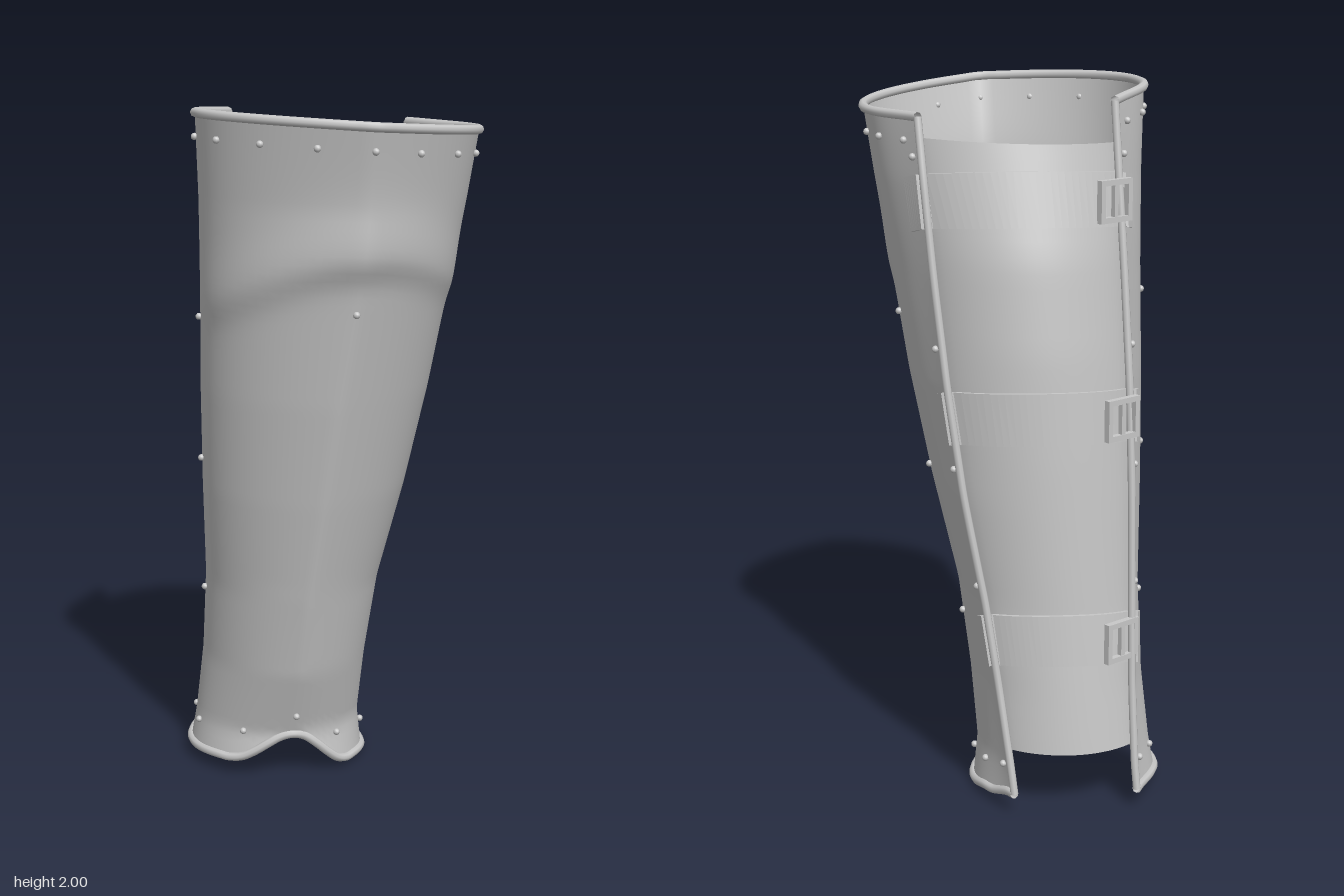
import * as THREE from 'three';

const steel = new THREE.MeshStandardMaterial({ color: 0xc8c8c8, side: THREE.DoubleSide });
steel.name = 'steel grey';
const V = (x, y, z) => new THREE.Vector3(x, y, z);

// Cross-sections by height: y, shin ridge x z, left side x z, right side x z, left back edge x z, right back edge x z
const SECTIONS = [
  [0.00, -0.13, 0.03, 0.130, -0.21, -0.400, -0.25, 0.045, -0.460, -0.300, -0.470],
  [0.14, -0.13, 0.01, 0.115, -0.20, -0.375, -0.24, 0.060, -0.440, -0.290, -0.455],
  [0.35, -0.12, 0.09, 0.130, -0.18, -0.355, -0.21, 0.085, -0.405, -0.285, -0.430],
  [0.60, -0.11, 0.155, 0.158, -0.14, -0.350, -0.16, 0.120, -0.380, -0.285, -0.410],
  [0.90, -0.085, 0.23, 0.225, -0.09, -0.365, -0.10, 0.175, -0.360, -0.285, -0.390],
  [1.20, -0.06, 0.30, 0.282, -0.05, -0.375, -0.05, 0.215, -0.335, -0.280, -0.365],
  [1.50, -0.025, 0.365, 0.325, 0.00, -0.380, 0.00, 0.245, -0.300, -0.270, -0.325],
  [1.75, -0.005, 0.41, 0.365, 0.03, -0.387, 0.03, 0.265, -0.270, -0.260, -0.290],
  [2.00, 0.00, 0.472, 0.400, 0.05, -0.398, 0.05, 0.280, -0.220, -0.250, -0.255],
];
const BACK = [[0.1, -0.48], [0.2, -0.472], [0.55, -0.442], [1.0, -0.436], [1.3, -0.428], [1.55, -0.405], [1.9, -0.322]];

function row(table, y) {
  let i = 0;
  while (i < table.length - 2 && y > table[i + 1][0]) i++;
  const a = table[i], b = table[i + 1], t = (y - a[0]) / (b[0] - a[0]);
  return a.map((v, k) => v + (b[k] - v) * t);
}

const bez = (a, b, c, d, t) => {
  const s = 1 - t;
  return a * s * s * s + 3 * b * s * s * t + 3 * c * s * t * t + d * t * t * t;
};

// Point on the shell: side = 1 left, -1 right; u runs from shin ridge (0) to back edge (1)
function shell(side, u, y, out = 0) {
  const r = row(SECTIONS, y), k = side > 0 ? 0 : 2;
  const [fx, fz] = [r[1], r[2]], [sx, sz] = [r[3 + k], r[4 + k]], [bx, bz] = [r[7 + k], r[8 + k]];
  const keel = Math.min(0.15, 0.02 + 0.2 * y);
  const at = (w) => {
    if (w < 0.5) {
      const t = w * 2;
      return V(bez(fx, fx + (sx - fx) * 0.5, sx, sx, t), y, bez(fz, fz + (sz - fz) * keel, sz + (fz - sz) * 0.5, sz, t));
    }
    const t = w * 2 - 1;
    return V(bez(sx, sx, bx + (sx - bx) * 0.5, bx, t), y, bez(sz, sz + (bz - sz) * 0.4, bz + (sz - bz) * 0.4, bz, t));
  };
  const p = at(u), a = at(Math.max(0, u - 0.02)), b = at(Math.min(1, u + 0.02));
  const n = u === 0 ? V(0, 0, 1) : V(-(b.z - a.z) * side, 0, (b.x - a.x) * side).normalize();
  // Raised brow of the knee
  const d = y - (1.62 - 1.1 * p.x * p.x);
  const brow = 0.024 * Math.exp(-((d / (d < 0 ? 0.055 : 0.12)) ** 2)) * Math.max(0, 1 - u / 0.6);
  return p.addScaledVector(n, brow + out);
}

function bottomY(side, u) {
  const h = side > 0 ? [0.145, 0.027, 0.018, 0.036, 0.065] : [0.145, 0.057, 0.05, 0.055, 0.06];
  const i = Math.min(3, Math.floor(u * 4)), t = u * 4 - i;
  return h[i] + (h[i + 1] - h[i]) * t * t * (3 - 2 * t);
}
function topY(side, u) {
  const p = shell(side, u, 1.96);
  return 1.955 - 0.072 * p.x + 0.04 * p.z;
}

// Calf plate point: v runs from the left edge (0) to the right edge (1), tucked under the shell
function calf(v, y, out = 0) {
  const a = shell(1, 0.93, y, -0.012), b = shell(-1, 0.93, y, -0.012), mid = row(BACK, y)[1];
  const at = (t) => {
    const line = a.z + (b.z - a.z) * t;
    const bulge = (mid - (a.z + b.z) / 2) * Math.pow(Math.max(0, 4 * t * (1 - t)), 0.85);
    return V(a.x + (b.x - a.x) * t, y, line + bulge);
  };
  const p = at(v), q = at(Math.max(0, v - 0.03)), r = at(Math.min(1, v + 0.03));
  return p.addScaledVector(V(-(q.z - r.z), 0, q.x - r.x).normalize(), -out);
}

// Surface from a rule over a grid of nu by nv cells
function grid(nu, nv, rule) {
  const pos = [], idx = [];
  for (let i = 0; i <= nu; i++) for (let j = 0; j <= nv; j++) pos.push(...rule(i / nu, j / nv).toArray());
  for (let i = 0; i < nu; i++) for (let j = 0; j < nv; j++) {
    const a = i * (nv + 1) + j, b = a + nv + 1;
    idx.push(a, b, a + 1, b, b + 1, a + 1);
  }
  const g = new THREE.BufferGeometry();
  g.setAttribute('position', new THREE.Float32BufferAttribute(pos, 3));
  g.setIndex(idx);
  g.computeVertexNormals();
  return g;
}

export function createModel() {
  const model = new THREE.Group();
  model.name = 'legGuard';
  const add = (name, geo, parent = model) => {
    const m = new THREE.Mesh(geo, steel);
    m.name = name;
    parent.add(m);
    return m;
  };
  const tube = (name, pts, r) =>
    add(name, new THREE.TubeGeometry(new THREE.CatmullRomCurve3(pts), pts.length * 3, r, 8, false));

  // Shin shell, from the right back edge round the ridge to the left back edge
  const wall = (w, v) => {
    const side = w < 0 ? -1 : 1, u = Math.abs(w);
    return shell(side, u, THREE.MathUtils.lerp(bottomY(side, u), topY(side, u), v));
  };
  add('shinShell', grid(64, 80, (t, v) => wall(t * 2 - 1, v)));

  // Rolled rims along the back edges, the top and the bottom
  const steps = (n) => Array.from({ length: n + 1 }, (_, i) => i / n);
  tube('leftBackRim', steps(24).map((v) => wall(1, v)), 0.011);
  tube('rightBackRim', steps(24).map((v) => wall(-1, v)), 0.011);
  tube('topRim', steps(40).map((t) => wall(t * 2 - 1, 1)), 0.013);
  tube('bottomRim', steps(40).map((t) => wall(t * 2 - 1, 0)), 0.013);

  // Calf plate
  add('calfPlate', grid(28, 40, (v, t) => calf(v, 0.18 + t * (1.69 - 0.02 * v))));

  // Straps across the calf, each with a buckle on the right back edge: strap y, buckle x z
  for (const [y, bx, bz] of [[1.69, -0.24, -0.328], [1.11, -0.25, -0.408], [0.485, -0.25, -0.44]]) {
    const path = (t, h, out) => {
      const yy = y + h + 0.03 * Math.sin(Math.PI * t);
      if (t < 0.2) return shell(1, 0.89 + 0.55 * t, yy, 0.006 + out);
      if (t > 0.85) return shell(-1, 1 - (t - 0.85) * 0.65, yy, 0.006 + out);
      return calf(0.06 + ((t - 0.2) / 0.65) * 0.88, yy, 0.008 + out);
    };
    const ring = [[-0.072, 0], [-0.072, 0.01], [0.072, 0.01], [0.072, 0], [-0.072, 0]];
    const strap = grid(40, 4, (t, w) => path(t, ...ring[Math.round(w * 4)])).toNonIndexed();
    strap.computeVertexNormals();
    add('strap', strap);

    const buckle = new THREE.Group();
    buckle.name = 'buckle';
    for (const s of [1, -1]) {
      add('buckleSide', new THREE.BoxGeometry(0.015, 0.11, 0.018), buckle).position.x = s * 0.05;
      add('buckleBar', new THREE.BoxGeometry(0.115, 0.015, 0.018), buckle).position.y = s * 0.05;
    }
    add('bucklePin', new THREE.BoxGeometry(0.014, 0.1, 0.014), buckle);
    buckle.position.set(bx, y + 0.015, bz);
    buckle.rotation.y = Math.PI + 0.55;
    model.add(buckle);
  }

  // Rivets along the rims, the back edges and the sides
  const head = new THREE.SphereGeometry(0.01, 8, 6);
  const rivet = (side, u, y) => add('rivet', head).position.copy(shell(side, u, y, 0.005));
  for (const side of [1, -1]) {
    for (const u of [0.12, 0.25, 0.38, 0.53, 0.7, 0.9]) rivet(side, u, topY(side, u) - 0.065);
    for (const u of [0.2, 0.45, 0.7, 0.93]) rivet(side, u, bottomY(side, u) + 0.08);
    for (const y of [1.82, 1.31, 0.98, 0.65]) rivet(side, 0.95, y);
    for (const y of [1.37, 0.94, 0.52]) rivet(side, 0.54, y + (side < 0 ? 0.04 : 0));
  }
  for (const y of [0.21, 1.47, 1.91]) rivet(1, 0, y);
  return model;
}
